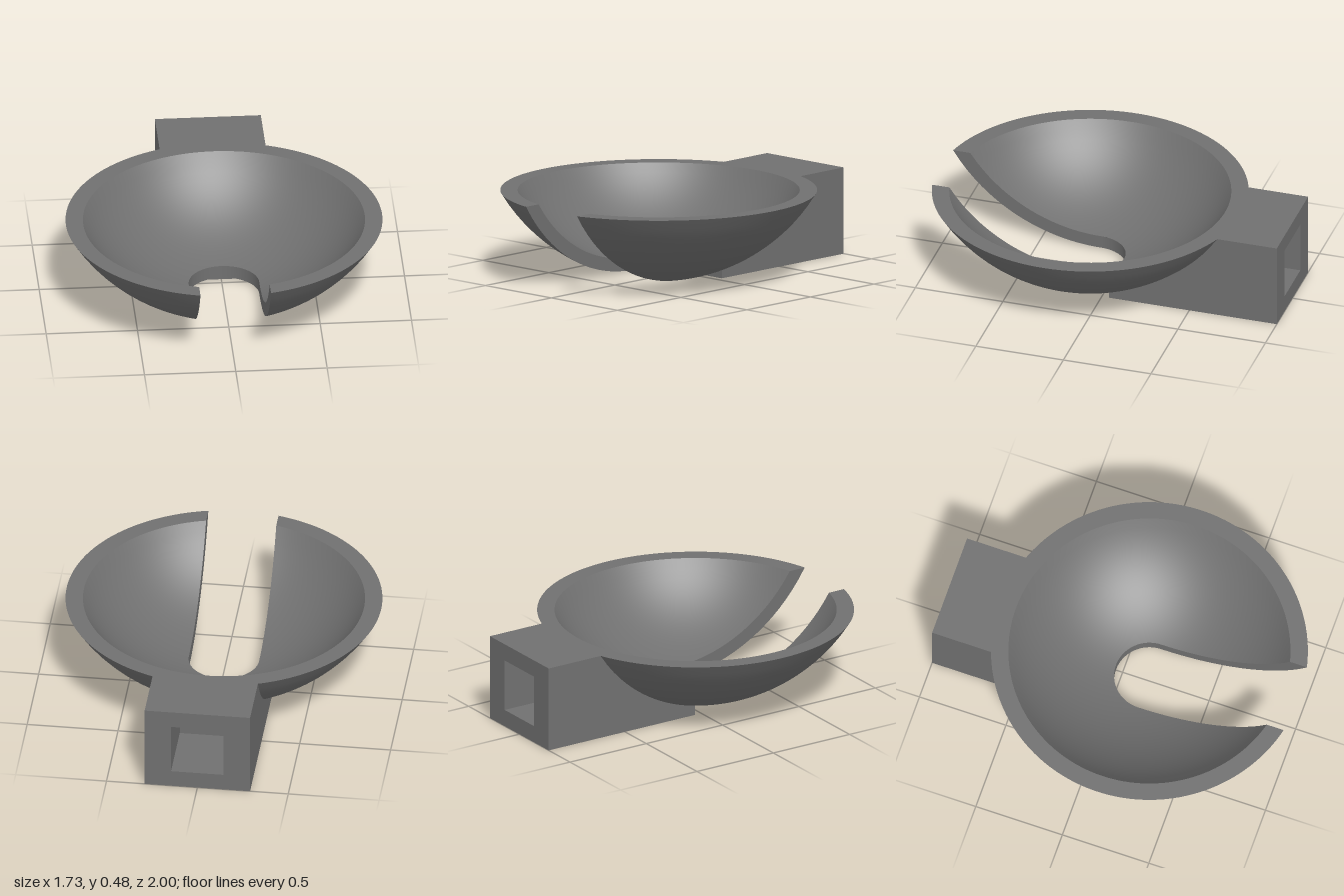
import * as THREE from 'three';

const MID_Z = 0.155;    // bowl axis
const TOP = 0.48;       // rim height
const SLOT = 0.193;     // half width of the slot
const OUTER = { radius: 1.01, centre: 1.0014, rim: 0.865 };
const INNER = { radius: 0.918, centre: 0.98, rim: 0.77 };

// Smooth surface over a (u, v) grid; faces look along dv x du
function surface(nu, nv, point) {
  const positions = [], index = [];
  for (let i = 0; i <= nu; i++) {
    for (let j = 0; j <= nv; j++) {
      positions.push(...point(i / nu, j / nv));
      if (i < nu && j < nv) {
        const a = i * (nv + 1) + j, c = a + nv + 1;
        index.push(a, a + 1, c, a + 1, c + 1, c);
      }
    }
  }
  const geometry = new THREE.BufferGeometry();
  geometry.setAttribute('position', new THREE.Float32BufferAttribute(positions, 3));
  geometry.setIndex(index);
  geometry.computeVertexNormals();
  return geometry;
}

// Point on a bowl shell: t runs from slot radius to rim, v around from one slot wall to the other
function shellPoint(shell, t, v) {
  const r = SLOT + (shell.rim - SLOT) * t * t;
  const start = Math.asin(Math.min(1, SLOT / r));
  const angle = start + (2 * Math.PI - 2 * start) * v;
  const y = t === 1 ? TOP : shell.centre - Math.sqrt(shell.radius ** 2 - r * r);
  return [r * Math.sin(angle), y, MID_Z + r * Math.cos(angle)];
}

function between(p, q, k) {
  return p.map((value, i) => value + (q[i] - value) * k);
}

// Side outline of the arm (z, y); its curved end lies inside the bowl wall
function armOutline(withPocket) {
  const shape = new THREE.Shape();
  const blend = 0.94, centre = 0.98, front = -0.04;
  shape.moveTo(-1, 0);
  shape.lineTo(front, 0);
  const steps = 24, far = Math.sqrt(blend ** 2 - (centre - TOP) ** 2);
  for (let i = 0; i <= steps; i++) {
    const d = THREE.MathUtils.lerp(MID_Z - front, far, i / steps);
    shape.lineTo(MID_Z - d, centre - Math.sqrt(blend ** 2 - d * d));
  }
  shape.lineTo(-1, TOP);
  if (withPocket) {
    shape.lineTo(-1, 0.385);
    shape.lineTo(-0.62, 0.385);
    shape.lineTo(-0.62, 0.095);
    shape.lineTo(-1, 0.095);
  }
  shape.closePath();
  return shape;
}

export function createModel() {
  const model = new THREE.Group();
  const material = new THREE.MeshStandardMaterial({ color: 0x707070 });
  const add = (parent, name, geometry) => {
    const mesh = new THREE.Mesh(geometry, material);
    mesh.name = name;
    parent.add(mesh);
  };

  // Slotted bowl
  const bowl = new THREE.Group();
  bowl.name = 'bowl';
  model.add(bowl);
  add(bowl, 'bowlOutside', surface(32, 128, (u, v) => shellPoint(OUTER, u, v)));
  add(bowl, 'bowlInside', surface(32, 128, (u, v) => shellPoint(INNER, 1 - u, v)));
  add(bowl, 'rim', surface(1, 128, (u, v) =>
    between(shellPoint(OUTER, 1, v), shellPoint(INNER, 1, v), u)));
  add(bowl, 'slotEnd', surface(1, 128, (u, v) =>
    between(shellPoint(INNER, 0, v), shellPoint(OUTER, 0, v), u)));
  add(bowl, 'leftSlotWall', surface(32, 1, (u, v) =>
    between(shellPoint(INNER, u, 0), shellPoint(OUTER, u, 0), v)));
  add(bowl, 'rightSlotWall', surface(32, 1, (u, v) =>
    between(shellPoint(OUTER, u, 1), shellPoint(INNER, u, 1), v)));

  // Square arm: a notched core between two cheeks leaves a blind socket at the back
  const arm = new THREE.Group();
  arm.name = 'arm';
  model.add(arm);
  const slab = (name, x0, x1, withPocket) => {
    const geometry = new THREE.ExtrudeGeometry(armOutline(withPocket), { depth: x1 - x0, bevelEnabled: false });
    geometry.rotateY(-Math.PI / 2);
    geometry.translate(x1, 0, 0);
    add(arm, name, geometry);
  };
  slab('armCore', -0.145, 0.145, true);
  slab('leftCheek', 0.145, 0.29, false);
  slab('rightCheek', -0.29, -0.145, false);

  return model;
}
